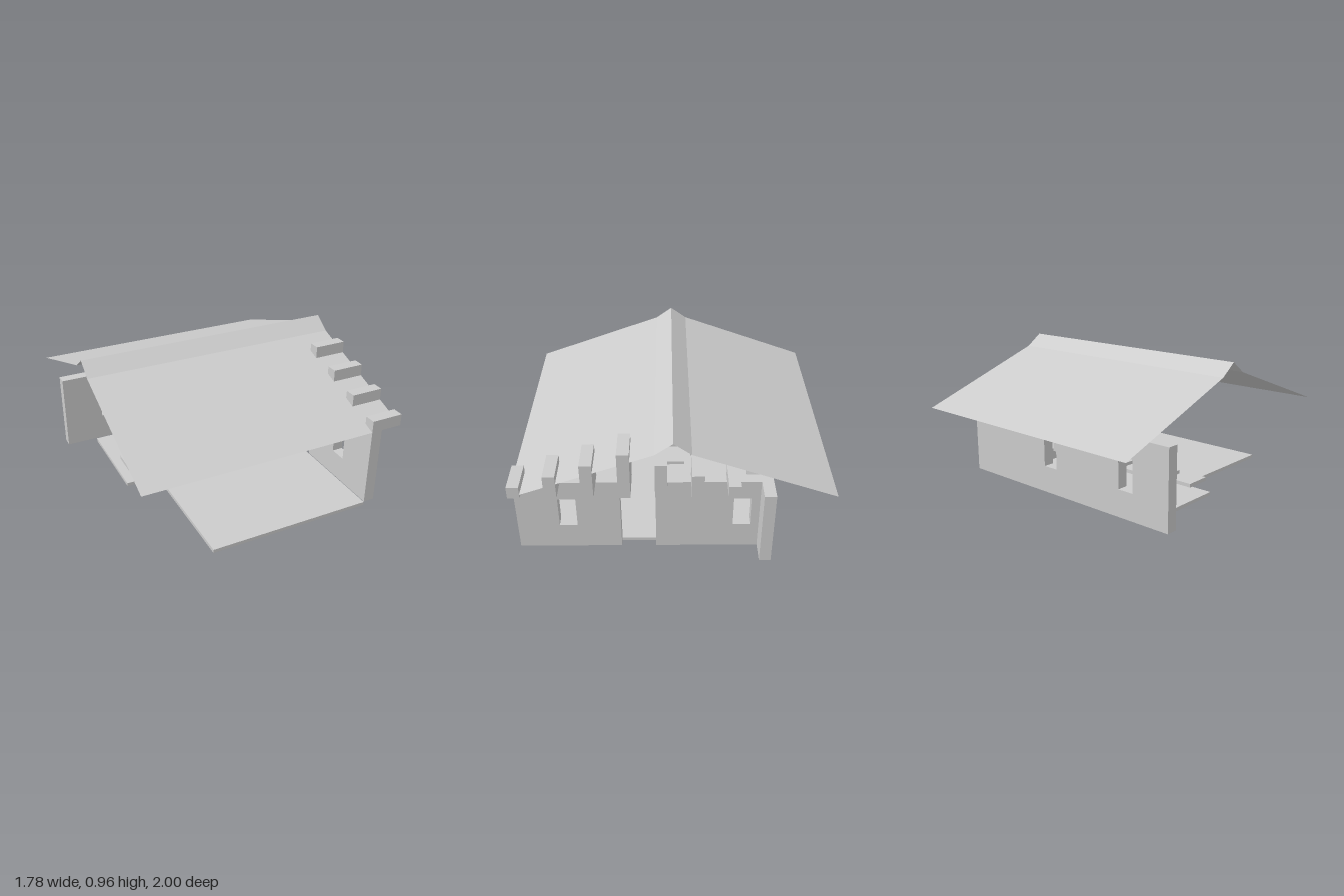
import * as THREE from 'three';

const grey = new THREE.MeshStandardMaterial({ color: 0xcccccc });
grey.name = 'light grey';
// the roof is an open sheet, seen from both sides
const roofGrey = grey;
roofGrey.side = THREE.DoubleSide;

const U = 0.2225;      // planning grid
const T = 0.075;       // wall thickness
const BASE = 0.028, TOP = 0.56, FLOOR = 0.024;

function add(parent, name, geometry) {
  const mesh = new THREE.Mesh(geometry, grey);
  mesh.name = name;
  parent.add(mesh);
  return mesh;
}

// box from its limits
function box(parent, name, x0, x1, y0, y1, z0, z1) {
  const mesh = add(parent, name, new THREE.BoxGeometry(x1 - x0, y1 - y0, z1 - z0));
  mesh.position.set((x0 + x1) / 2, (y0 + y1) / 2, (z0 + z1) / 2);
  return mesh;
}

function rectangle(path, a0, a1, b0, b1) {
  path.moveTo(a0, b0);
  path.lineTo(a1, b0);
  path.lineTo(a1, b1);
  path.lineTo(a0, b1);
  path.closePath();
  return path;
}

// wall panel in the xy plane, pierced by windows given as [start, end]
function wall(parent, name, a0, a1, windows) {
  const shape = rectangle(new THREE.Shape(), a0, a1, BASE, TOP);
  for (const [w0, w1] of windows) {
    shape.holes.push(rectangle(new THREE.Path(), w0, w1, 0.21, 0.425));
  }
  return add(parent, name, new THREE.ExtrudeGeometry(shape, { depth: T, bevelEnabled: false }));
}

// roof sheet swept along x from a [z, y] profile, front eave to back eave
function roofGeometry(profile, half) {
  const points = [];
  for (let i = 0; i < profile.length - 1; i++) {
    const [za, ya] = profile[i], [zb, yb] = profile[i + 1];
    const a = [-half, ya, za], b = [half, ya, za], c = [half, yb, zb], d = [-half, yb, zb];
    points.push(...a, ...b, ...c, ...a, ...c, ...d);
  }
  const geometry = new THREE.BufferGeometry();
  geometry.setAttribute('position', new THREE.Float32BufferAttribute(points, 3));
  geometry.computeVertexNormals();
  return geometry;
}

export function createModel() {
  const model = new THREE.Group();
  model.name = 'house';

  // L-shaped floor slab
  const plan = new THREE.Shape();
  [[-0.445, -1], [0.67, -1], [0.67, 0.555], [-0.67, 0.555], [-0.67, -0.11], [-0.445, -0.11]]
    .forEach(([x, y], i) => (i ? plan.lineTo(x, y) : plan.moveTo(x, y)));
  const floor = add(model, 'floor', new THREE.ExtrudeGeometry(plan, { depth: FLOOR, bevelEnabled: false }));
  floor.rotation.x = -Math.PI / 2;

  // back wall with two windows
  const back = wall(model, 'backWall', -0.89, 0.89, [[-0.615, -0.5], [0.05, 0.165]]);
  back.position.z = -0.555 - T;

  // side wall in two pieces either side of the doorway
  const sides = [
    ['sideWallFront', -1, -0.335, [[-0.73, -0.615]]],
    ['sideWallBack', -0.11, 0.555, [[0.385, 0.5]]],
  ];
  for (const [name, a0, a1, windows] of sides) {
    const side = wall(model, name, a0, a1, windows);
    side.rotation.y = Math.PI / 2;
    side.position.x = 0.67;
  }

  // stepped blocks along the top of the side wall
  const blocks = new THREE.Group();
  blocks.name = 'gableBlocks';
  model.add(blocks);
  const steps = [0.08, 0.16, 0.24, 0.32, 0.24, 0.16, 0.08];
  steps.forEach((h, i) => {
    const z = 1 - i * U;
    box(blocks, 'gableBlock', 0.67, 0.89, TOP, TOP + h, z - T, z);
  });

  // folded roof with a steeper ridge
  add(model, 'roof', roofGeometry([[1, 0.56], [0.11, 0.88], [0, 0.96], [-0.11, 0.88], [-1, 0.56]], 0.89));

  // furniture slabs on the grid
  const furniture = new THREE.Group();
  furniture.name = 'furniture';
  model.add(furniture);
  const piece = (name, column, row, y0, y1) => {
    const x = (column - 2.5) * U, z = row * U, r = 0.4 * U;
    box(furniture, name, x - r, x + r, y0, y1, z - r, z + r);
  };
  for (let column = 0; column < 6; column++) piece('seat', column, 0, 0.105, 0.13);
  piece('table', 1, -1, 0.185, 0.21);
  piece('table', 2, -1, 0.185, 0.21);
  piece('cabinet', 4, -1, 0.185, 0.315);
  piece('chest', 5, -1, 0.105, 0.185);

  return model;
}
